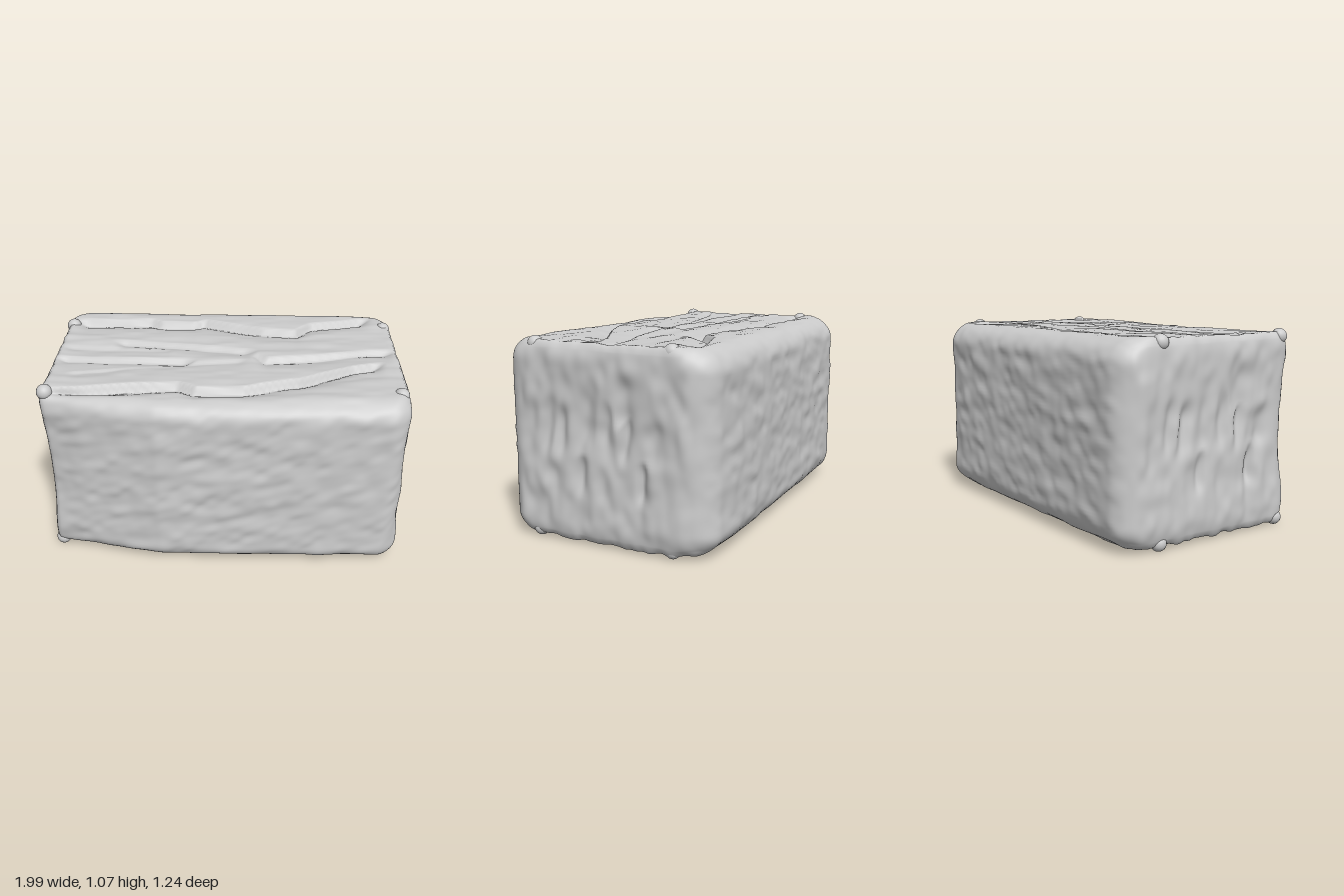
import * as THREE from 'three';
import { mergeVertices } from 'three/addons/utils/BufferGeometryUtils.js';

const HALF = [0.988, 0.52, 0.612];   // half size of the block
const MID_Y = 0.545;

// Ledges across the top: depth, then [x, z] points along the break
const LEDGES = [
  [0.045, [[-0.95, -0.41], [-0.6, -0.42], [-0.47, -0.43], [-0.41, -0.4], [-0.21, -0.4], [-0.15, -0.43], [0, -0.38], [0.2, -0.32], [0.4, -0.3], [0.49, -0.39], [0.88, -0.5]]],
  [0.03, [[-0.68, -0.15], [-0.3, -0.11], [0.19, -0.045]]],
  [0.02, [[-0.98, -0.08], [-0.6, -0.06], [-0.25, -0.06]]],
  [0.035, [[-0.99, 0.055], [-0.6, 0.07], [-0.15, 0.065]]],
  [0.018, [[-0.9, 0.24], [-0.5, 0.15], [0.15, 0.05]]],
  [0.035, [[0.12, 0], [0.17, 0.01], [0.22, 0.055], [0.5, 0.015], [0.8, -0.055], [0.98, -0.075]]],
  [0.05, [[-0.98, 0.43], [-0.5, 0.365], [-0.25, 0.345], [-0.16, 0.395], [0.1, 0.385], [0.4, 0.285], [0.7, 0.125], [0.9, 0.07]]],
];
// Upright gouges in the ends: z, y, half width, half height
const GOUGES = [
  [0.33, 0.63, 0.035, 0.13], [0.24, 0.6, 0.03, 0.12], [0.1, 0.68, 0.045, 0.17], [-0.02, 0.62, 0.04, 0.14],
  [-0.12, 0.78, 0.06, 0.12], [-0.13, 0.6, 0.03, 0.12], [-0.29, 0.58, 0.05, 0.1], [0.13, 0.38, 0.03, 0.1], [-0.22, 0.38, 0.025, 0.1],
];

const clamp = THREE.MathUtils.clamp;
const smooth = THREE.MathUtils.smoothstep;

function hash(x, y, z) {
  let h = Math.imul(x, 374761393) ^ Math.imul(y, 668265263) ^ Math.imul(z, 2146249069);
  h = Math.imul(h ^ (h >>> 13), 1274126177);
  return ((h ^ (h >>> 16)) >>> 0) / 2147483648 - 1;
}

// Smooth value noise from -1 to 1
function noise(x, y, z) {
  const cell = [x, y, z].map(Math.floor);
  const [u, v, w] = [x, y, z].map((c, i) => { const f = c - cell[i]; return f * f * (3 - 2 * f); });
  let sum = 0;
  for (let i = 0; i < 8; i++) {
    const a = i & 1, b = (i >> 1) & 1, c = i >> 2;
    sum += (a ? u : 1 - u) * (b ? v : 1 - v) * (c ? w : 1 - w) * hash(cell[0] + a, cell[1] + b, cell[2] + c);
  }
  return sum;
}

// Steep wall facing the front, then a slow ramp back up
function ledgeDepth(x, z) {
  let deepest = 0;
  for (const [depth, line] of LEDGES) {
    const i = line.findIndex((p, k) => k > 0 && x >= line[k - 1][0] && x <= p[0]);
    if (i < 1) continue;
    const [a, b] = [line[i - 1], line[i]];
    const s = z - THREE.MathUtils.lerp(a[1], b[1], (x - a[0]) / (b[0] - a[0]));
    const ends = smooth(x, line[0][0], line[0][0] + 0.1) * (1 - smooth(x, line.at(-1)[0] - 0.1, line.at(-1)[0]));
    const cut = smooth(s, 0, 0.035) * Math.exp(-Math.max(0, s - 0.035) / 0.07);
    deepest = Math.max(deepest, depth * ends * cut);
  }
  return deepest;
}

function gougeDepth(y, z) {
  let d = 0;
  for (const [gz, gy, w, h] of GOUGES) {
    const lean = (y - gy) * 0.1;
    d = Math.max(d, 0.025 * Math.exp(-(((z - gz + lean) / w) ** 2) - ((y - gy) / h) ** 4));
  }
  return d;
}

// Surface relief, blended between the faces by the normal
function relief(x, y, z, n) {
  const [wx, wy, wz] = n.map((c) => c ** 4);
  const sides = 0.009 * noise(x * 7 + y * 4, y * 13 - x * 4, z * 6) + 0.005 * noise(x * 15, y * 22 - x * 6, z * 16);
  const ends = 0.01 * noise(x * 3 + 9, y * 6, z * 14) + 0.006 * noise(x * 9, y * 13, z * 20)
    - gougeDepth(y, n[0] > 0 ? z : -z);
  const grain = 0.005 * noise(x * 4, y * 4 + 5, z * 16) + 0.003 * noise(x * 9, 3, z * 28);
  const flat = n[1] > 0 ? grain - ledgeDepth(x, z) : grain * 2;
  return wx * ends + wy * flat + wz * sides;
}

// Edge radii: upright corners are broad, the long edges of the ends are tight
function edgeRadii(x, z) {
  const broad = x < 0 && z > 0 ? 0 : (z < 0 ? 0.1 : 0.08) * smooth(Math.abs(z), 0.38, 0.6);
  const back = 1 - smooth(z, -0.3, 0.3);
  return [0.04 + broad, 0.11 + 0.02 * back, 0.13 + 0.02 * back];
}

function blockGeometry() {
  let geo = new THREE.BoxGeometry(...HALF.map((h) => h * 2), 124, 60, 92);
  geo.deleteAttribute('uv');
  geo.deleteAttribute('normal');
  geo = mergeVertices(geo, 1e-4);
  const pos = geo.attributes.position;
  for (let i = 0; i < pos.count; i++) {
    // Round the edges
    const p = [pos.getX(i), pos.getY(i), pos.getZ(i)];
    const r = edgeRadii(p[0], p[2]);
    const core = p.map((c, k) => clamp(c, r[k] - HALF[k], HALF[k] - r[k]));
    const dir = p.map((c, k) => (c - core[k]) / r[k]);
    const len = Math.hypot(...dir);
    const n = dir.map((c) => c / len);
    let [x, y, z] = core.map((c, k) => c + n[k] * r[k]);
    y += MID_Y;
    const bow = 1 - ((y - MID_Y) / HALF[1]) ** 2;
    // Slanted, hollowed front-right corner; the other corners ease in slightly
    if (z > 0) {
      const slant = 0.12 * clamp((-0.36 - x) / 0.62, 0, 1) + 0.035 * bow * smooth(-x, 0.75, 1);
      z -= (slant + 0.025 * Math.max(0, x) ** 2) * z / HALF[2];
    } else {
      z -= 0.035 * clamp((x - 0.55) / 0.43, 0, 1) ** 2 * z / HALF[2];
    }
    // Horn-like flare above and below that corner
    x -= 0.015 * (1 - bow) * smooth(-x, 0.8, 0.98) * smooth(z, 0.3, 0.45);
    const d = relief(x, y, z, n);
    // Slightly hollow ends
    pos.setXYZ(i, x + n[0] * d - 0.01 * n[0] * bow, y + n[1] * d, z + n[2] * d);
  }
  geo.computeVertexNormals();
  return geo;
}

export function createModel() {
  const group = new THREE.Group();
  group.name = 'stoneBlock';
  const stone = new THREE.MeshStandardMaterial({ color: 0xcccccc });
  const add = (name, geometry) => {
    const mesh = new THREE.Mesh(geometry, stone);
    mesh.name = name;
    group.add(mesh);
    return mesh;
  };
  add('block', blockGeometry());

  // Small knobs near the corners, above and below
  const knob = new THREE.SphereGeometry(0.042, 20, 14);
  for (const y of [0.05, 1.04]) {
    for (const [x, z] of [[0.93, 0.42], [0.93, -0.37], [-0.945, -0.37], [-0.955, 0.435]]) {
      add('cornerKnob', knob).position.set(x, y, z);
    }
  }
  return group;
}
